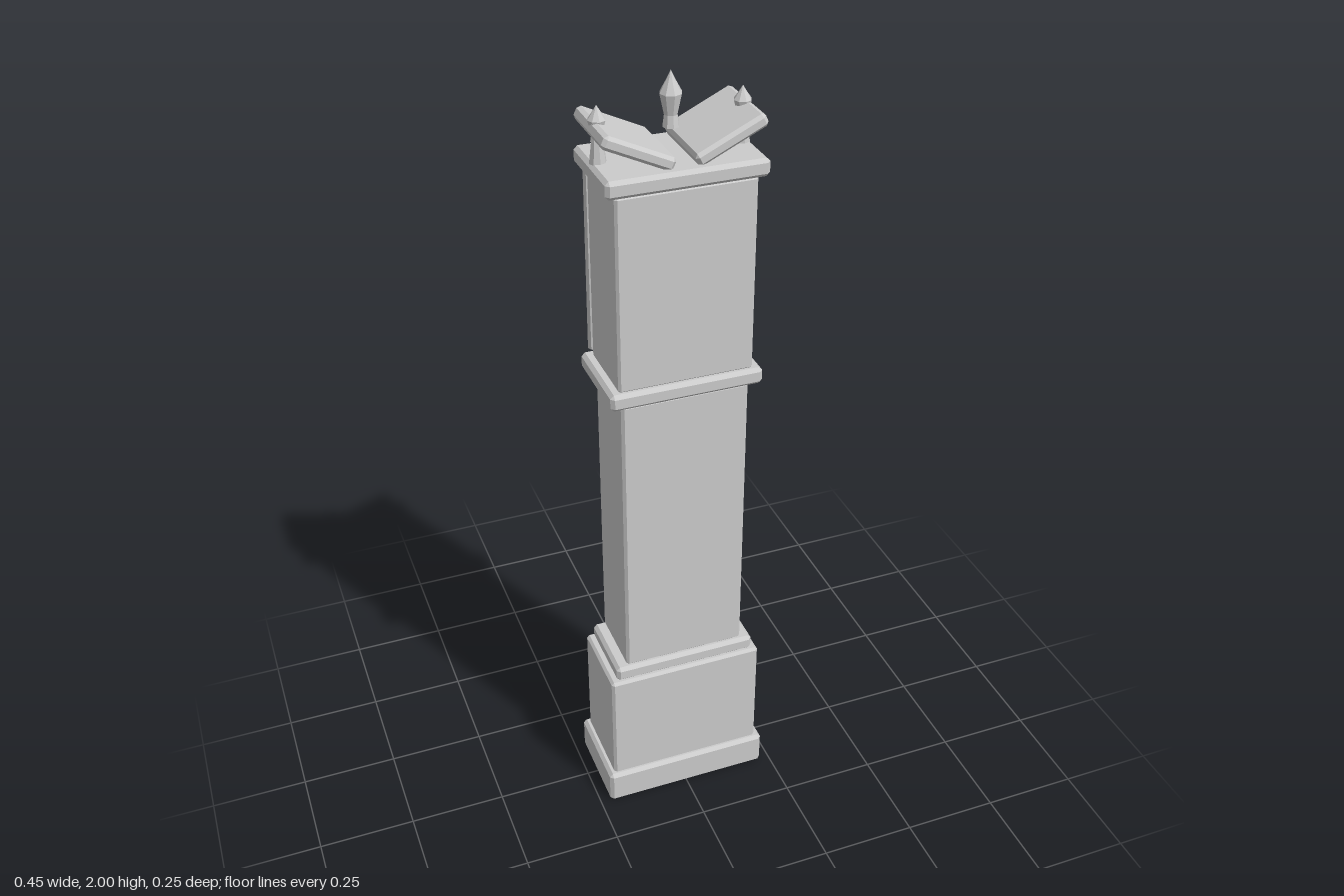
import * as THREE from 'three';
import { ConvexGeometry } from 'three/addons/geometries/ConvexGeometry.js';

const material = new THREE.MeshStandardMaterial({ color: 0xcccccc, flatShading: true });

// Box with every edge chamfered by b: three corner points per corner
function chamferBox(w, h, d, b) {
  const points = [];
  for (const sx of [-1, 1]) for (const sy of [-1, 1]) for (const sz of [-1, 1]) {
    const x = w / 2, y = h / 2, z = d / 2;
    points.push(
      new THREE.Vector3(sx * x, sy * (y - b), sz * (z - b)),
      new THREE.Vector3(sx * (x - b), sy * y, sz * (z - b)),
      new THREE.Vector3(sx * (x - b), sy * (y - b), sz * z));
  }
  return new ConvexGeometry(points);
}

export function createModel() {
  const model = new THREE.Group();
  model.name = 'longcaseClock';

  function add(name, geometry, x = 0, y = 0, z = 0) {
    const mesh = new THREE.Mesh(geometry, material);
    mesh.name = name;
    mesh.position.set(x, y, z);
    model.add(mesh);
    return mesh;
  }

  // Block from half width, y range and z range
  function block(name, halfW, y0, y1, z0, z1, bevel) {
    return add(name, chamferBox(halfW * 2, y1 - y0, z1 - z0, bevel),
      0, (y0 + y1) / 2, (z0 + z1) / 2);
  }

  // Case, stacked from the floor up
  block('plinth', 0.223, 0, 0.095, -0.12, 0.125, 0.009);
  block('base', 0.207, 0.09, 0.415, -0.106, 0.113, 0.007);
  block('waistMoulding', 0.19, 0.415, 0.457, -0.096, 0.108, 0.009);
  block('trunk', 0.16, 0.455, 1.25, -0.09, 0.098, 0.007);
  block('throatMoulding', 0.19, 1.25, 1.293, -0.115, 0.115, 0.009);
  block('hood', 0.167, 1.29, 1.775, -0.09, 0.102, 0.006);
  block('cornice', 0.19, 1.775, 1.818, -0.115, 0.115, 0.009);

  // Raised panels and doors on the dial side
  block('basePanel', 0.15, 0.13, 0.365, -0.112, -0.1, 0.005);
  block('trunkDoor', 0.123, 0.5, 1.2, -0.096, -0.085, 0.004);
  block('lenticlePlate', 0.07, 0.63, 0.9, -0.098, -0.09, 0.001);
  block('keyholePlate', 0.013, 1.02, 1.08, -0.106, -0.09, 0.003);
  block('hoodDoor', 0.137, 1.36, 1.765, -0.098, -0.085, 0.003);
  block('hoodRail', 0.137, 1.3, 1.352, -0.095, -0.085, 0.002);

  // Round window with its ring
  add('lenticleRing', new THREE.TorusGeometry(0.072, 0.01, 6, 24), 0, 0.76, -0.099);
  const disc = add('lenticleGlass', new THREE.CylinderGeometry(0.07, 0.07, 0.012, 24), 0, 0.76, -0.096);
  disc.rotation.x = Math.PI / 2;

  // Eight-sided finial turned from a short profile; y is measured down from the tip
  function finial(name, x, tip, radius, height) {
    const profile = [[0, 0], [0.75, 0], [0.6, 0.22], [1, 0.6], [0.35, 0.85], [0, 1]]
      .map(([r, t]) => new THREE.Vector2(r * radius, t * height));
    add(name, new THREE.LatheGeometry(profile, 8), x, tip - height, -0.003);
  }
  finial('centreFinial', 0, 2, 0.026, 0.125);

  for (const side of [-1, 1]) {
    const label = side > 0 ? 'left' : 'right';
    // Slim tapered columns at the hood corners
    add(label + 'HoodColumn', new THREE.CylinderGeometry(0.014, 0.016, 0.46, 8), side * 0.155, 1.53, -0.112);
    // Sloping halves of the broken pediment
    const slab = add(label + 'Pediment', chamferBox(0.178, 0.032, 0.2, 0.008), side * 0.106, 1.862, -0.004);
    slab.rotation.z = side * 0.44;
    finial(label + 'Finial', side * 0.168, 1.945, 0.021, 0.08);
    // Small pedestal below each side finial
    add(label + 'FinialBase', new THREE.CylinderGeometry(0.013, 0.02, 0.055, 8), side * 0.168, 1.843, -0.003);
  }

  return model;
}
